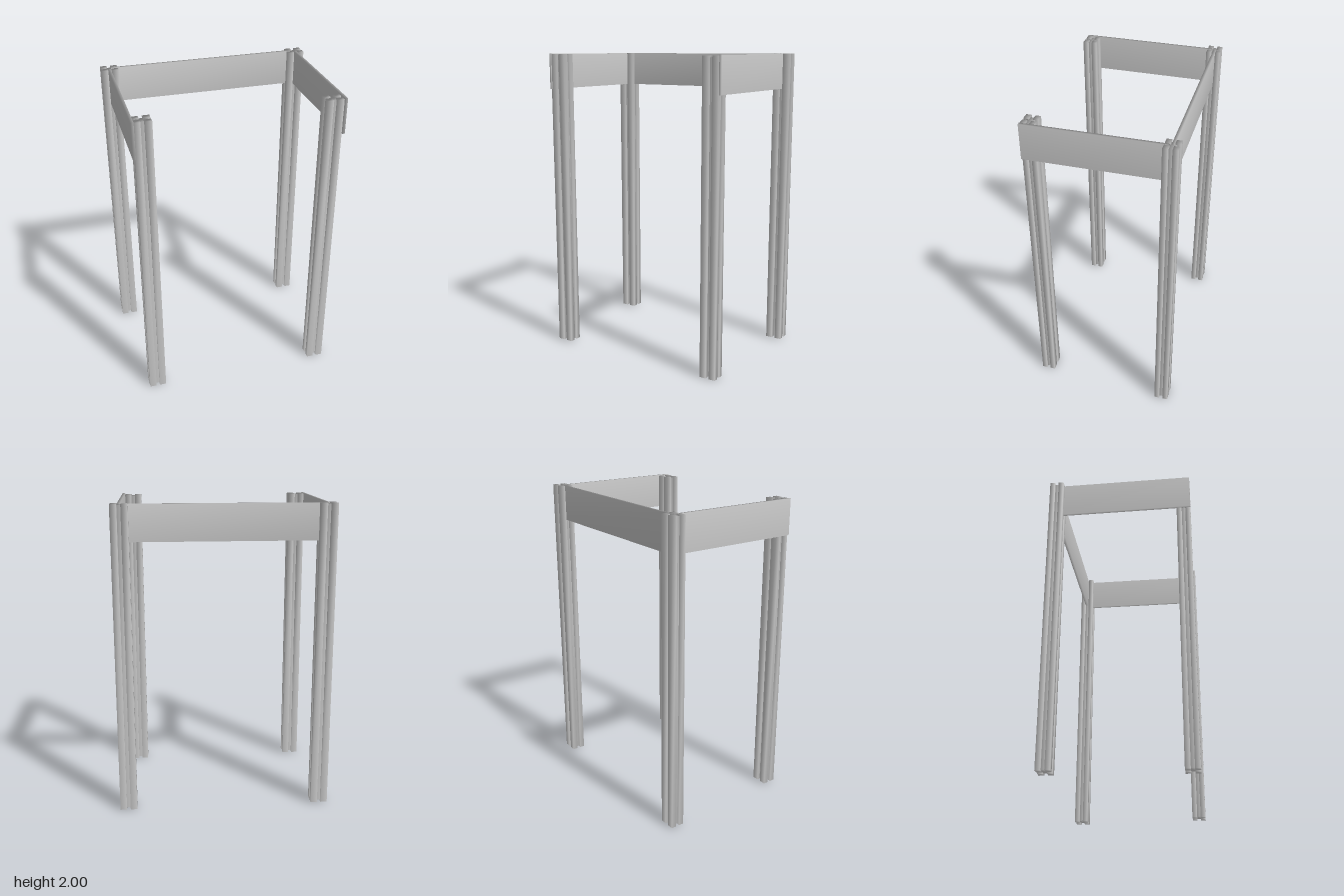
import * as THREE from 'three';
import { mergeVertices } from 'three/addons/utils/BufferGeometryUtils.js';

const material = new THREE.MeshStandardMaterial({ color: 0xcccccc });

// Box with normals averaged across its corners, for a softly rounded look
function softBox(w, h, d) {
  const box = new THREE.BoxGeometry(w, h, d);
  box.deleteAttribute('normal');
  box.deleteAttribute('uv');
  const geometry = mergeVertices(box);
  geometry.computeVertexNormals();
  return geometry;
}

function addBox(parent, name, size, position) {
  const mesh = new THREE.Mesh(softBox(...size), material);
  mesh.name = name;
  mesh.position.set(...position);
  parent.add(mesh);
  return mesh;
}

// Leg: four square strips held together by a recessed core
function makeLeg(name, x, z, bottom, top) {
  const leg = new THREE.Group();
  leg.name = name;
  const height = top - bottom;
  const mid = (top + bottom) / 2;
  for (const sx of [-1, 1]) {
    for (const sz of [-1, 1]) {
      addBox(leg, 'legStrip', [0.043, height, 0.033], [sx * 0.0335, mid, sz * 0.0285]);
    }
  }
  addBox(leg, 'legCore', [0.08, height - 0.014, 0.052], [0, mid, 0]);
  leg.position.set(x, 0, z);
  return leg;
}

export function createModel() {
  const model = new THREE.Group();
  model.name = 'tableFrame';

  // Legs: the front pair stands inside the side rails
  model.add(
    makeLeg('backRightLeg', -0.637, -0.42, 0.008, 2),
    makeLeg('backLeftLeg', 0.637, -0.42, 0.005, 2),
    makeLeg('frontRightLeg', -0.583, 0.42, 0.008, 1.998),
    makeLeg('frontLeftLeg', 0.575, 0.42, 0, 1.995)
  );

  // Rails: one across the back and one along each side
  const railHeight = 0.23;
  const railY = 2 - railHeight / 2;
  addBox(model, 'backRail', [1.25, railHeight, 0.019], [0, railY, -0.424]);
  for (const [name, side] of [['leftRail', 1], ['rightRail', -1]]) {
    const rail = addBox(model, name, [0.018, railHeight, 0.865], [side * 0.641, railY, 0.0325]);
    rail.rotation.y = side * 0.003;
  }
  return model;
}
